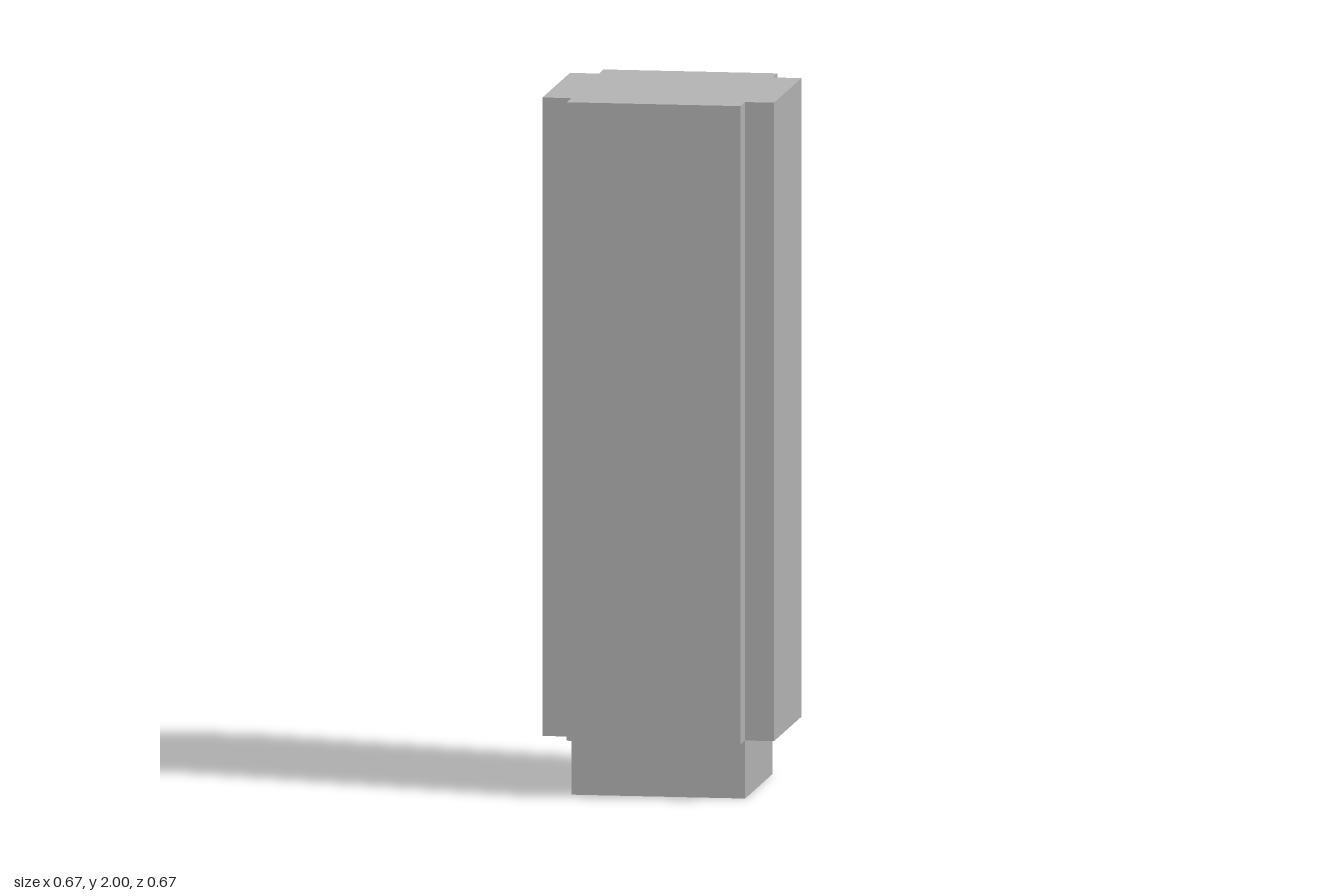
import * as THREE from 'three';

export function createModel() {
  const group = new THREE.Group();
  group.name = 'pillar';

  const stone = new THREE.MeshStandardMaterial({ color: 0xb2b2b2 });
  stone.name = 'grey stone';

  const outer = 1 / 3; // half width across the projecting faces
  const inner = 0.25; // half width of the core
  const footHeight = 1 / 6;
  const height = 2;

  // Shaft: a square with its four corners notched
  const corners = [
    [outer, -inner], [outer, inner], [inner, inner], [inner, outer],
    [-inner, outer], [-inner, inner], [-outer, inner], [-outer, -inner],
    [-inner, -inner], [-inner, -outer], [inner, -outer], [inner, -inner],
  ];
  const section = new THREE.Shape(corners.map(([x, y]) => new THREE.Vector2(x, y)));
  const shaftGeometry = new THREE.ExtrudeGeometry(section, {
    depth: height - footHeight,
    bevelEnabled: false,
  });
  shaftGeometry.rotateX(-Math.PI / 2);
  const shaft = new THREE.Mesh(shaftGeometry, stone);
  shaft.name = 'shaft';
  shaft.position.y = footHeight;

  // Foot: the square core continuing to the ground
  const foot = new THREE.Mesh(new THREE.BoxGeometry(inner * 2, footHeight, inner * 2), stone);
  foot.name = 'foot';
  foot.position.y = footHeight / 2;

  group.add(shaft, foot);
  return group;
}
